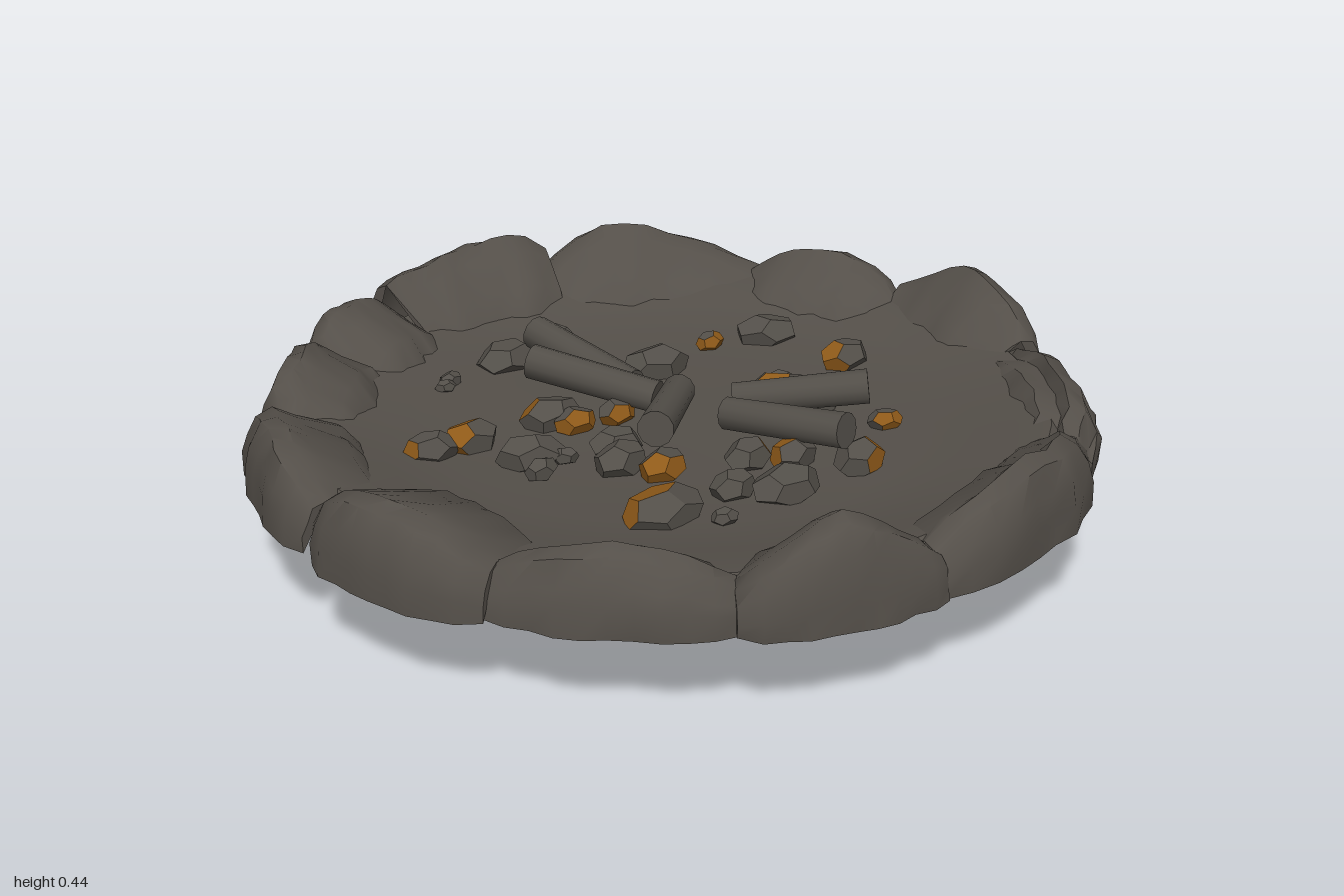
import * as THREE from 'three';
import { toCreasedNormals } from 'three/addons/utils/BufferGeometryUtils.js';

const mat = (name, color) => {
  const m = new THREE.MeshStandardMaterial({ color });
  m.name = name;
  return m;
};

// Small seeded generator for irregular surfaces
function seeded(seed) {
  return () => {
    seed = (seed * 16807) % 2147483647;
    return seed / 2147483647;
  };
}

// One rim stone: an open-bottomed cross-section swept along an arc;
// drop and power set how far and how sharply it falls from its peak to its ends
function rimStone(rand, from, to, outer, inner, height, peak, drop = 0.45, power = 2.4) {
  const mid = (outer + inner) / 2;
  const section = [
    [outer, 0.21], [outer - 0.002, 0.28], [outer - 0.015, height - 0.07],
    [outer - 0.04, height - 0.015], [outer - 0.08, height],
    [mid, height - 0.03], [inner + 0.04, 0.335],
    [inner, 0.285], [inner - 0.03, 0.24],
  ];
  const n = section.length, top = 4, steps = 10, pos = [], idx = [];
  for (let i = 0; i <= steps; i++) {
    const t = i / steps;
    const a = THREE.MathUtils.degToRad(from - 0.8 + (to - from + 1.6) * t);
    const d = t < peak ? (peak - t) / peak : (t - peak) / (1 - peak);
    const rise = 1 - drop * Math.pow(d, power);
    const width = 1 - 0.2 * Math.pow(Math.abs(2 * t - 1), 5);
    const sway = (rand() - 0.5) * 0.018;
    section.forEach(([r, y]) => {
      const rr = mid + (r - mid) * width + sway + (rand() - 0.5) * 0.008;
      const yy = 0.21 + (y - 0.21) * rise + (y > 0.24 ? (rand() - 0.5) * 0.01 : 0);
      pos.push(Math.cos(a) * rr, yy, Math.sin(a) * rr);
    });
  }
  for (let i = 0; i < steps; i++) {
    for (let j = 0; j < n - 1; j++) {
      const a = i * n + j, b = a + 1;
      idx.push(a, b, a + n, b, b + n, a + n);
    }
  }
  // End faces fan out from the top of the section
  const last = steps * n;
  for (let k = 0; k < n - 1; k++) {
    if (k === top || k + 1 === top) continue;
    idx.push(top, k + 1, k, last + top, last + k, last + k + 1);
  }
  const g = new THREE.BufferGeometry();
  g.setAttribute('position', new THREE.Float32BufferAttribute(pos, 3));
  g.setIndex(idx);
  return toCreasedNormals(g, 0.85);
}

export function createModel() {
  const model = new THREE.Group();
  model.name = 'firePit';
  const stone = mat('stone', 0x544f49);
  stone.side = THREE.DoubleSide;
  const charcoal = mat('charcoal', 0x534f49);
  const wood = mat('burntWood', 0x524e48);
  const ember = mat('ember', 0x8f5a19);
  const add = (name, geometry, material, parent = model) => {
    const mesh = new THREE.Mesh(geometry, material);
    mesh.name = name;
    parent.add(mesh);
    return mesh;
  };

  // Bowl: rounded underside, raised rim and shallow fire bed
  const profile = [
    [0, 0.004], [0.2, 0.016], [0.35, 0.033], [0.5, 0.062], [0.6, 0.095], [0.7, 0.15],
    [0.8, 0.215], [0.87, 0.25], [0.9, 0.285], [0.87, 0.31], [0.79, 0.298], [0.7, 0.272],
    [0.55, 0.252], [0.3, 0.248], [0, 0.246],
  ].map(([r, y]) => new THREE.Vector2(r, y));
  const bowl = new THREE.LatheGeometry(profile, 48);
  const p = bowl.attributes.position;
  for (let i = 0; i < p.count; i++) {
    const x = p.getX(i), z = p.getZ(i), r = Math.hypot(x, z);
    p.setY(i, p.getY(i) + 0.01 * r * Math.sin(7 * x + 1) * Math.cos(6 * z));
  }
  add('bowl', toCreasedNormals(bowl, 0.8), stone);

  // Rim stones: start and end angle, outer and inner radius, height, peak position, drop, power
  const ring = new THREE.Group();
  ring.name = 'rimStones';
  model.add(ring);
  const rand = seeded(77);
  [
    [-14, 14, 1.0, 0.77, 0.44, 0.5, 0.45, 1.6],
    [-42, -15, 0.955, 0.72, 0.4, 0.55],
    [-79, -42, 0.975, 0.72, 0.44, 0.35, 0.5, 1.5],
    [-109, -79, 0.995, 0.73, 0.435, 0.85, 0.2, 1.2],
    [-130, -109, 0.975, 0.7, 0.4, 0.4],
    [-152, -129, 0.96, 0.72, 0.395, 0.5],
    [-182, -152, 0.995, 0.74, 0.4, 0.4],
    [148, 176, 1.0, 0.68, 0.405, 0.5],
    [117, 147, 0.965, 0.76, 0.385, 0.5],
    [90, 116, 0.99, 0.73, 0.445, 0.52, 0.6, 1.3],
    [48, 89, 0.985, 0.77, 0.4, 0.6],
    [15, 48, 0.98, 0.79, 0.36, 0.5, 0.35],
  ].forEach((s) => add('rimStone', rimStone(rand, ...s), stone, ring));

  // Charred logs: outer end and inner end on the plan
  const logs = new THREE.Group();
  logs.name = 'logs';
  model.add(logs);
  [
    [-0.095, -0.465, -0.03, -0.13],
    [-0.2, -0.31, -0.02, -0.04],
    [-0.175, 0.185, 0.045, -0.045],
    [0.37, 0.26, 0.12, 0.07],
    [0.17, 0.43, 0.06, 0.13],
  ].forEach(([x0, z0, x1, z1]) => {
    const a = new THREE.Vector3(x0, 0.345, z0), b = new THREE.Vector3(x1, 0.305, z1);
    const dir = b.clone().sub(a);
    const log = add('log', toCreasedNormals(
      new THREE.CylinderGeometry(0.039, 0.042, dir.length(), 12), 0.8), wood, logs);
    log.position.copy(a).add(b).multiplyScalar(0.5);
    log.quaternion.setFromUnitVectors(new THREE.Vector3(0, 1, 0), dir.normalize());
  });

  // Coals: x, z, radius, and for glowing ones the side that glows, in degrees from +x toward +z
  const coals = new THREE.Group();
  coals.name = 'coals';
  model.add(coals);
  [
    [-0.15, -0.52, 0.078], [0.01, -0.57, 0.057, -20], [-0.33, -0.48, 0.03], [-0.36, -0.45, 0.025],
    [0.14, -0.285, 0.085, -40], [0.335, -0.33, 0.038, 100], [0.49, -0.3, 0.08], [0.555, -0.06, 0.065, 180],
    [-0.56, -0.15, 0.06, 220], [-0.46, -0.15, 0.066, 200], [-0.24, -0.16, 0.072, 250], [-0.21, -0.1, 0.05, 120],
    [-0.1, -0.09, 0.05, 90], [-0.39, 0, 0.075], [-0.41, 0.08, 0.04], [-0.33, 0.05, 0.03],
    [-0.2, 0.06, 0.06], [-0.24, 0.14, 0.065], [-0.18, 0.22, 0.06, 120], [0.28, 0.02, 0.085, 150],
    [0.33, 0.11, 0.07], [0.33, -0.03, 0.036, -60], [0.39, 0.3, 0.04, 60], [0.01, 0.28, 0.06, 0],
    [0.1, 0.33, 0.06, 200], [-0.3, 0.4, 0.1, 215], [-0.11, 0.39, 0.055], [-0.01, 0.45, 0.082],
    [0.21, 0.43, 0.068, 20], [-0.21, 0.5, 0.03],
  ].forEach(([x, z, r, glow]) => {
    const g = new THREE.DodecahedronGeometry(1);
    g.rotateX(rand() * 3).rotateZ(rand() * 3);
    g.scale(r * 1.1, Math.min(r * 0.72, 0.048), r * 0.78);
    g.rotateY((rand() - 0.5) * 0.8);
    if (glow !== undefined) {
      const a = THREE.MathUtils.degToRad(glow);
      const nrm = g.attributes.normal;
      g.clearGroups();
      for (let f = 0; f < 12; f++) {
        const k = f * 9;
        const side = nrm.getX(k) * Math.cos(a) + nrm.getZ(k) * Math.sin(a);
        g.addGroup(k, 9, side > 0.2 ? 1 : 0);
      }
    }
    const coal = add('coal', g, glow === undefined ? charcoal : [charcoal, ember], coals);
    coal.position.set(x, 0.268, z);
  });
  return model;
}
